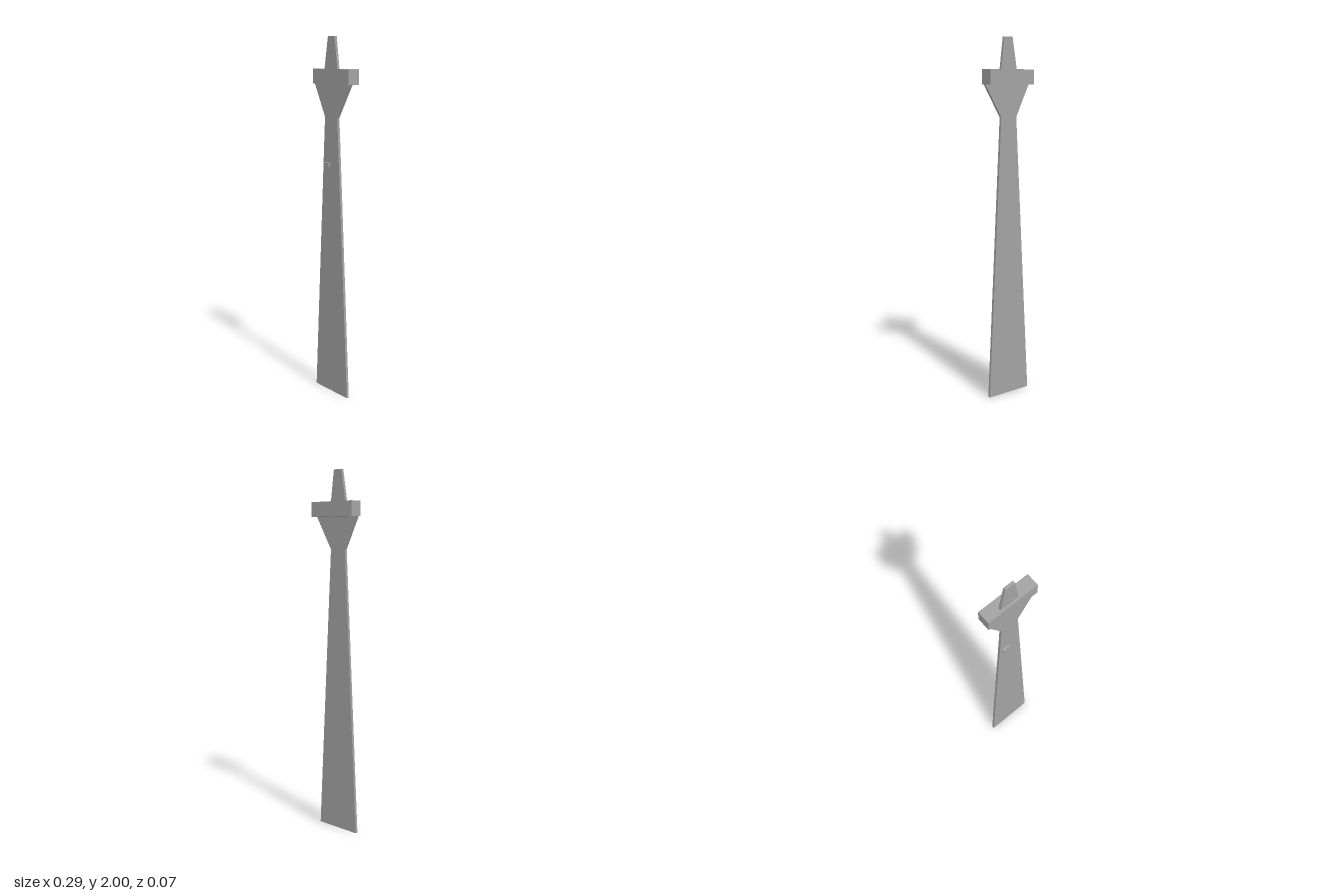
import * as THREE from 'three';

const BACK = 0.007, FRONT = 0.022; // thin slab depth range

export function createModel() {
  const model = new THREE.Group();
  model.name = 'tower';
  const concrete = new THREE.MeshStandardMaterial({ color: 0xa3a3a3 });
  concrete.name = 'concrete grey';

  // Flat outline extruded between two depths
  function slab(name, points, back, front) {
    const shape = new THREE.Shape(points.map(([x, y]) => new THREE.Vector2(x, y)));
    const geometry = new THREE.ExtrudeGeometry(shape, { depth: front - back, bevelEnabled: false });
    geometry.translate(0, 0, back);
    const mesh = new THREE.Mesh(geometry, concrete);
    mesh.name = name;
    model.add(mesh);
  }

  // Tapering shaft that flares out below the observation deck
  slab('shaft', [
    [-0.147, 0], [0.127, 0], [0.042, 1.575], [0.147, 1.75],
    [-0.147, 1.75], [-0.061, 1.575],
  ], BACK, FRONT);

  // Deep observation deck
  slab('observationDeck', [
    [-0.147, 1.75], [0.147, 1.75], [0.147, 1.83], [-0.147, 1.83],
  ], -0.037, 0.035);

  // Narrow spire on top
  slab('spire', [
    [-0.064, 1.83], [0.042, 1.83], [0.02, 2], [-0.035, 2],
  ], BACK, FRONT);

  // Small ledge on the front of the shaft
  slab('ledge', [
    [-0.059, 1.308], [-0.018, 1.308], [-0.016, 1.33], [-0.061, 1.33],
  ], FRONT, 0.035);

  return model;
}
